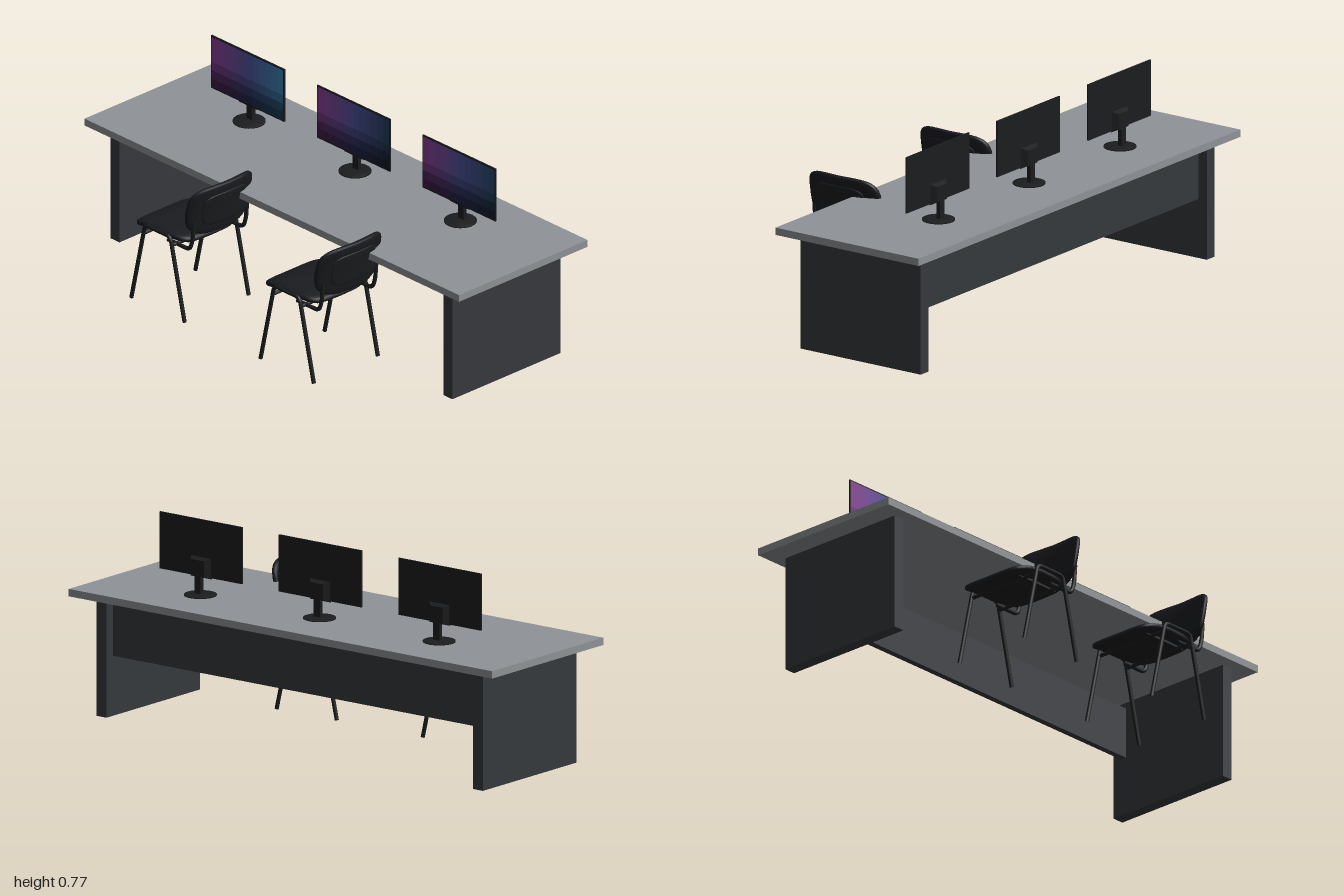
import * as THREE from 'three';
import { mergeVertices } from 'three/addons/utils/BufferGeometryUtils.js';

const mat = (color) => new THREE.MeshStandardMaterial({ color });
const topMat = mat(0x8f9397), panelMat = mat(0x36393d), blackMat = mat(0x1c1d1f), fabricMat = mat(0x1b1c20);

function add(parent, name, geometry, material, x = 0, y = 0, z = 0) {
  const mesh = new THREE.Mesh(geometry, material);
  mesh.name = name;
  mesh.position.set(x, y, z);
  parent.add(mesh);
  return mesh;
}

const box = (w, h, d) => new THREE.BoxGeometry(w, h, d);

// Rounded cushion (thickness along y), reshaped by a bend rule
function cushion(w, h, d, bend) {
  let g = new THREE.SphereGeometry(1, 40, 20);
  const p = g.attributes.position, v = new THREE.Vector3();
  const pow = (a, e) => Math.sign(a) * Math.pow(Math.abs(a) < 1e-6 ? 0 : Math.abs(a), e);
  for (let i = 0; i < p.count; i++) {
    v.fromBufferAttribute(p, i);
    const r = Math.hypot(v.x, v.z) || 1, ring = pow(Math.min(r, 1), 0.6);
    v.set(pow(v.x / r, 0.45) * ring * w / 2, pow(v.y, 0.6) * h / 2, pow(v.z / r, 0.45) * ring * d / 2);
    bend(v);
    p.setXYZ(i, v.x, v.y, v.z);
  }
  g.deleteAttribute('uv');
  g.deleteAttribute('normal');
  g = mergeVertices(g, 1e-5);
  g.computeVertexNormals();
  return g;
}

// Tube along straight runs with softened corners
function rod(points, radius) {
  const path = new THREE.CurvePath(), pts = points.map((a) => new THREE.Vector3(...a));
  let from = pts[0];
  for (let i = 1; i < pts.length - 1; i++) {
    const a = pts[i].clone().add(pts[i - 1].clone().sub(pts[i]).setLength(0.02));
    const b = pts[i].clone().add(pts[i + 1].clone().sub(pts[i]).setLength(0.02));
    path.add(new THREE.LineCurve3(from, a));
    path.add(new THREE.QuadraticBezierCurve3(a, pts[i], b));
    from = b;
  }
  path.add(new THREE.LineCurve3(from, pts[pts.length - 1]));
  return new THREE.TubeGeometry(path, 60, radius, 10);
}

function makeDesk() {
  const desk = new THREE.Group();
  desk.name = 'desk';
  add(desk, 'deskTop', box(2, 0.028, 0.655), topMat, 0, 0.465, -0.1225);
  for (const s of [-1, 1]) add(desk, 'sidePanel', box(0.047, 0.451, 0.55), panelMat, s * 0.889, 0.2255, -0.12);
  add(desk, 'modestyPanel', box(1.74, 0.2, 0.025), panelMat, 0, 0.328, -0.345);
  return desk;
}

function makeMonitor(rightColor) {
  const m = new THREE.Group();
  m.name = 'monitor';
  // Low domed foot
  const foot = [[0, 0], [0.061, 0], [0.061, 0.004], [0.035, 0.008], [0, 0.009]].map((a) => new THREE.Vector2(...a));
  add(m, 'foot', new THREE.LatheGeometry(foot, 32), blackMat, 0, 0.479, -0.219);
  add(m, 'stand', box(0.03, 0.11, 0.016), blackMat, 0, 0.535, -0.228);
  // Tapered mount on the back
  const mount = box(0.1, 0.08, 0.022), p = mount.attributes.position;
  for (let i = 0; i < p.count; i++) if (p.getZ(i) < 0) p.setXY(i, p.getX(i) * 0.6, p.getY(i) * 0.75);
  mount.computeVertexNormals();
  add(m, 'mount', mount, blackMat, 0, 0.585, -0.225);
  add(m, 'casing', box(0.39, 0.216, 0.006), blackMat, 0, 0.658, -0.214);
  // Screen made of graded colour tiles
  const cols = 12, rows = 6, w = 0.382 / cols, h = 0.206 / rows;
  const left = new THREE.Color(0x8a3f98), mid = new THREE.Color(0x4c519c), right = new THREE.Color(rightColor);
  const tile = new THREE.PlaneGeometry(w, h);
  for (let c = 0; c < cols; c++) for (let r = 0; r < rows; r++) {
    const t = c / (cols - 1);
    const color = t < 0.5 ? left.clone().lerp(mid, t * 2) : mid.clone().lerp(right, t * 2 - 1);
    color.multiplyScalar([0.18, 0.32, 0.65, 1, 1, 1][r]);
    add(m, 'screenTile', tile, mat(color), (c + 0.5 - cols / 2) * w, 0.658 + (r + 0.5 - rows / 2) * h, -0.2105);
  }
  return m;
}

// Chair facing -x, centred on its seat
function makeChair() {
  const chair = new THREE.Group();
  chair.name = 'chair';
  // Seat with drooping front edge and a slight dish
  add(chair, 'seat', cushion(0.295, 0.036, 0.3, (v) => {
    const t = v.x / 0.1475, s = v.z / 0.15;
    v.y += 0.004 * s * s - (t < 0 ? 0.03 : 0.008) * t * t;
  }), fabricMat, 0, 0.314, 0);
  // Backrest: leaned, wrapped around the sitter, narrower at the bottom
  const wrap = (v) => {
    const up = v.x, out = v.y, t = up / 0.103;
    const z = v.z * (t < 0 ? 1 - 0.16 * t * t : 1 - 0.05 * t * t);
    v.set(out + 0.018 * t + 0.008 * t * t - 1.1 * z * z, up, z);
  };
  add(chair, 'backrest', cushion(0.206, 0.036, 0.325, (v) => { v.y = -v.y; wrap(v); }), fabricMat, 0.2, 0.446, 0);
  add(chair, 'backShell', cushion(0.13, 0.014, 0.22, (v) => { v.y = 0.016 - v.y; wrap(v); }), blackMat, 0.2, 0.446, 0);
  // The wrap mirrors the cushions, so the thickness is flipped above to keep faces outward
  for (const s of [-1, 1]) {
    const z = s * 0.163, b = s * 0.136;
    add(chair, 'legFrame', rod([[-0.118, 0, z], [-0.045, 0.325, z], [0.09, 0.325, z], [0.166, 0, z]], 0.008), blackMat);
    add(chair, 'backBracket', rod([[0.05, 0.29, b], [0.165, 0.29, b], [0.18, 0.33, b], [0.187, 0.41, b]], 0.008), blackMat);
  }
  for (const x of [-0.05, 0.095]) add(chair, 'crossbar', rod([[x, 0.29, -0.163], [x, 0.29, 0.163]], 0.007), blackMat);
  add(chair, 'seatSupport', box(0.2, 0.012, 0.2), blackMat, 0.02, 0.296, 0);
  return chair;
}

export function createModel() {
  const model = new THREE.Group();
  model.name = 'workstation';
  model.add(makeDesk());
  [[-0.565, 0x3a80b4], [0, 0x1f3d5c], [0.563, 0x24486c]].forEach(([x, color]) => {
    const monitor = makeMonitor(color);
    monitor.position.x = x;
    model.add(monitor);
  });
  for (const x of [-0.392, 0.298]) {
    const chair = makeChair();
    chair.position.set(x, 0, 0.27);
    model.add(chair);
  }
  return model;
}
